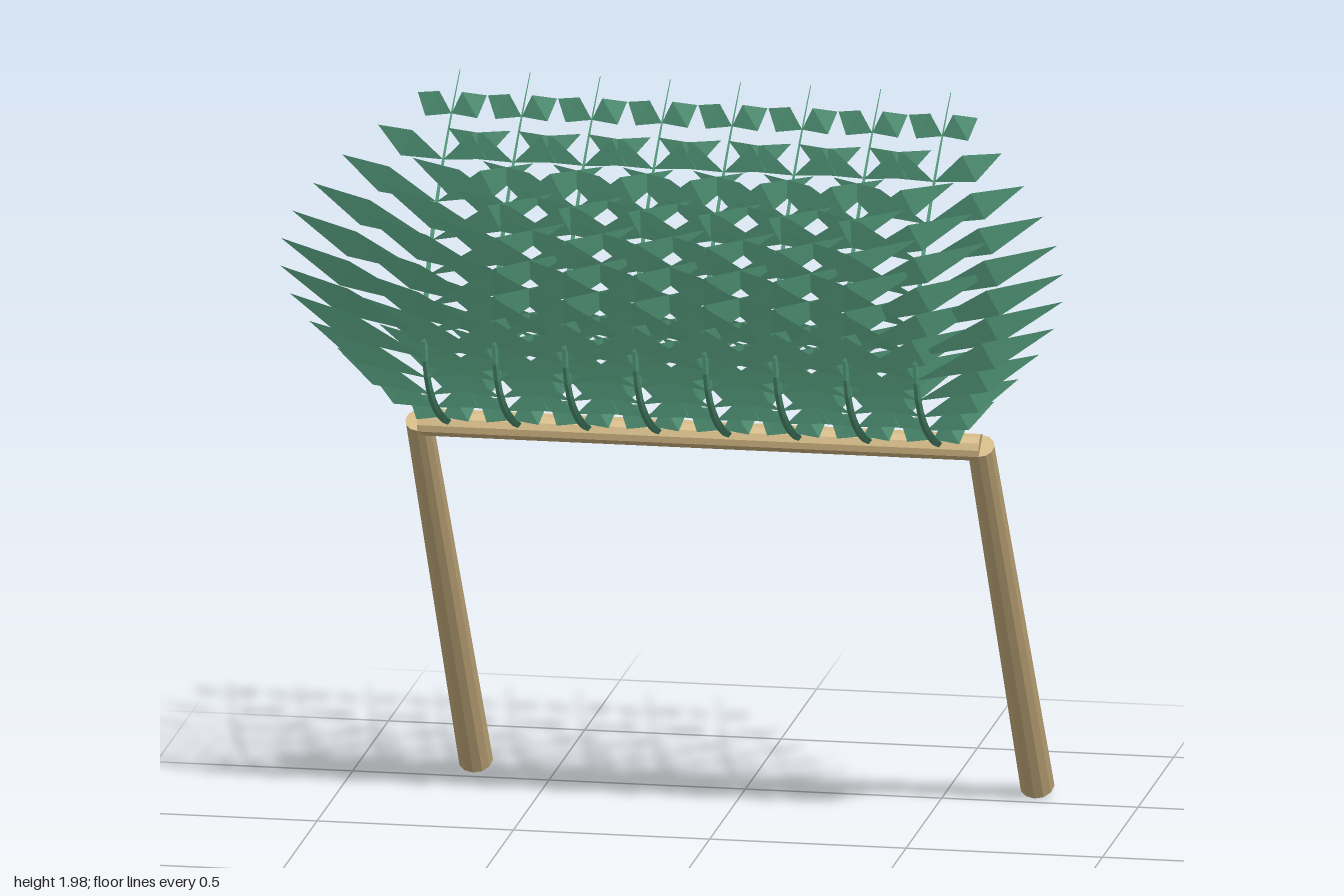
import * as THREE from 'three';

const wood = new THREE.MeshStandardMaterial({ color: 0xd2b784, flatShading: true });
wood.name = 'bamboo';
const leafGreen = new THREE.MeshStandardMaterial({ color: 0x529779, flatShading: true, side: THREE.DoubleSide });
leafGreen.name = 'leafGreen';

// Cylinder running between two points
function pole(name, a, b, rA, rB) {
  const dir = b.clone().sub(a);
  const mesh = new THREE.Mesh(new THREE.CylinderGeometry(rB, rA, dir.length(), 12), wood);
  mesh.position.copy(a).add(b).multiplyScalar(0.5);
  mesh.quaternion.setFromUnitVectors(new THREE.Vector3(0, 1, 0), dir.normalize());
  mesh.name = name;
  return mesh;
}

// Arching midrib shared by every frond
const rib = new THREE.QuadraticBezierCurve3(
  new THREE.Vector3(0, 1.11, 0.22),
  new THREE.Vector3(0, 1.38, 0.97),
  new THREE.Vector3(0, 1.98, 0.06)
);

// Tube narrowed ring by ring from base to tip
function ribGeometry() {
  const segments = 24, sides = 5;
  const geo = new THREE.TubeGeometry(rib, segments, 1, sides, false);
  const pos = geo.attributes.position;
  const v = new THREE.Vector3();
  for (let i = 0; i < pos.count; i++) {
    const t = Math.floor(i / (sides + 1)) / segments;
    const centre = rib.getPointAt(t);
    v.fromBufferAttribute(pos, i).sub(centre).multiplyScalar(0.011 * (1 - t) + 0.001).add(centre);
    pos.setXYZ(i, v.x, v.y, v.z);
  }
  geo.computeVertexNormals();
  return geo;
}

// Mirrored pairs of bent, kite-shaped leaflets, longest halfway up,
// each with its upper edge tipped forward
function leafletGeometry() {
  const rows = 12, points = [];
  for (let i = 0; i < rows; i++) {
    const base = rib.getPoint(0.06 + 0.87 * i / (rows - 1));
    const s = Math.sin(Math.PI * i / (rows - 1));
    const dx = 0.088 + 0.287 * s, dy = 0.048 + 0.107 * s;
    const len = Math.hypot(dx, dy), half = 0.039;
    const nx = -dy / len * half, ny = dx / len * half;
    const bulge = 0.012 + 0.03 * s;
    for (const side of [1, -1]) {
      const at = (x, y, z) => [side * x, base.y + y, base.z + z];
      const root = at(0, 0, 0);
      const upper = at(dx * 0.54 + nx, dy * 0.54 + ny, bulge);
      const lower = at(dx * 0.54 - nx, dy * 0.54 - ny, bulge * 0.25);
      const tip = at(dx, dy, -0.012 - 0.012 * s);
      const faces = side > 0
        ? [root, lower, upper, upper, lower, tip]
        : [root, upper, lower, upper, tip, lower];
      points.push(...faces.flat());
    }
  }
  const geo = new THREE.BufferGeometry();
  geo.setAttribute('position', new THREE.Float32BufferAttribute(points, 3));
  geo.computeVertexNormals();
  return geo;
}

export function createModel() {
  const model = new THREE.Group();
  model.name = 'palmLeanTo';

  // Two leaning posts and the crossbar
  const left = 0.73, right = -0.7;
  for (const [name, x] of [['leftPost', left], ['rightPost', right]]) {
    model.add(pole(name, new THREE.Vector3(x, 0.026, -0.573), new THREE.Vector3(x, 1.11, 0.22), 0.044, 0.035));
  }
  model.add(pole('crossbar', new THREE.Vector3(right, 1.105, 0.215), new THREE.Vector3(left, 1.105, 0.215), 0.036, 0.035));

  // Row of fronds
  const ribGeo = ribGeometry(), leafGeo = leafletGeometry();
  for (let i = 0; i < 8; i++) {
    const frond = new THREE.Group();
    frond.name = 'frond';
    const stem = new THREE.Mesh(ribGeo, leafGreen);
    stem.name = 'frondStem';
    const leaflets = new THREE.Mesh(leafGeo, leafGreen);
    leaflets.name = 'leaflets';
    frond.add(stem, leaflets);
    frond.position.x = -0.625 + 1.25 * i / 7;
    model.add(frond);
  }
  return model;
}
